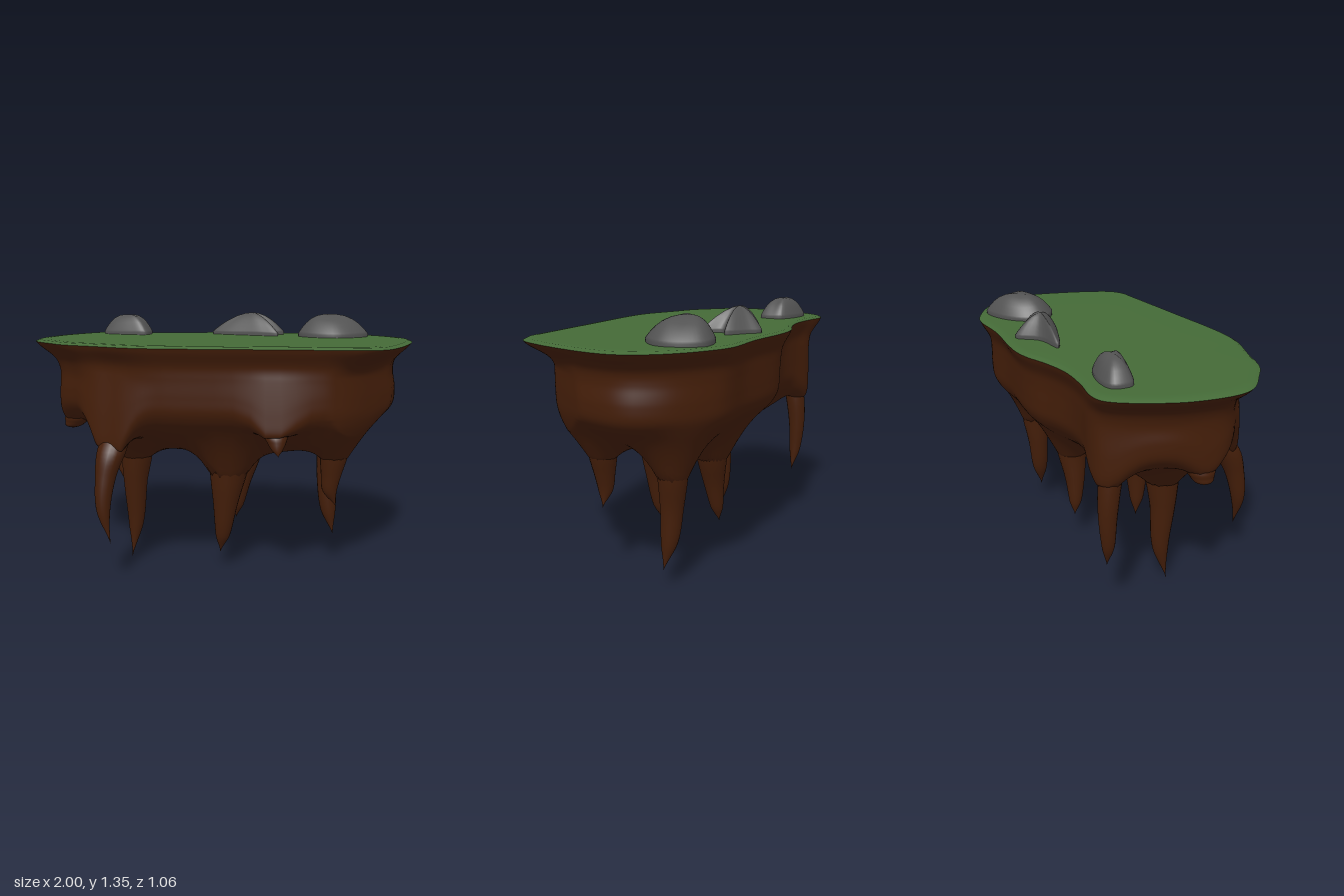
import * as THREE from 'three';

const mat = (name, color) => {
  const m = new THREE.MeshStandardMaterial({ color });
  m.name = name;
  return m;
};

// Skin a list of closed rings, ordered from top to bottom, each running clockwise from above
function loft(rings) {
  const n = rings[0].length, pos = [], idx = [];
  rings.forEach(r => r.forEach(p => pos.push(p.x, p.y, p.z)));
  for (let i = 0; i < rings.length - 1; i++) {
    for (let j = 0; j < n; j++) {
      const k = (j + 1) % n, a = i * n + j, b = i * n + k, c = a + n, d = b + n;
      idx.push(a, b, c, b, d, c);
    }
  }
  const g = new THREE.BufferGeometry();
  g.setAttribute('position', new THREE.Float32BufferAttribute(pos, 3));
  g.setIndex(idx);
  g.computeVertexNormals();
  return g;
}

// Smooth closed outline in the xz plane
const outline = (pts, n) => new THREE.CatmullRomCurve3(
  pts.map(([x, z]) => new THREE.Vector3(x, 0, z)), true, 'centripetal').getPoints(n).slice(0, n);

const scaled = (pts, sx, sz, y, dx = 0) => pts.map(p => new THREE.Vector3(p.x * sx + dx, y, p.z * sz));

// Hanging root: stations [x, y, z, radius] from the buried top to the pointed tip
function root(stations) {
  const path = new THREE.CatmullRomCurve3(stations.map(s => new THREE.Vector3(s[0], s[1], s[2])));
  const width = new THREE.SplineCurve(stations.map((s, i) => new THREE.Vector2(i, s[3])));
  const rings = [], steps = 24, sides = 20;
  for (let i = 0; i <= steps; i++) {
    const c = path.getPoint(i / steps), r = Math.max(0, width.getPoint(i / steps).y);
    rings.push(Array.from({ length: sides }, (_, j) => {
      const a = j / sides * Math.PI * 2;
      return new THREE.Vector3(c.x + r * Math.cos(a), c.y, c.z + r * Math.sin(a));
    }));
  }
  return loft(rings);
}

// Earth body: rings scaled from the rim, drawn down into a funnel around each root
function earth(rim) {
  const { smoothstep, clamp } = THREE.MathUtils;
  const sections = new THREE.CatmullRomCurve3(
    EARTH.map(([sx, sz, y]) => new THREE.Vector3(sx, y, sz)), false, 'centripetal');
  const rings = sections.getPoints(90).map(s => scaled(
    rim, Math.max(0, s.x), Math.max(0, s.z), s.y, 0.02 * smoothstep(1.22 - s.y, 0, 0.2)));
  for (const p of rings.flat()) {
    // Blunt the front left corner of the wall
    const cut = 0.32 * Math.max(0, p.x + p.z - 1.02) * smoothstep(1.22 - p.y, 0, 0.14);
    p.x -= cut;
    p.z -= cut;
    const sink = 1 - smoothstep(p.y, 0.86, 1.08), swell = 1 - smoothstep(p.y, 0.88, 1.16);
    let drop = 0, px = 0, pz = 0;
    for (const { joint: [x, y, z, r], reach, push } of Object.values(ROOTS)) {
      const near = clamp((reach - Math.hypot(p.x - x, p.z - z)) / (reach - r), 0, 1);
      drop = Math.max(drop, (p.y - y) * sink * near ** 2.6);
      px += push[0] * swell * near ** 1.5;
      pz += push[1] * swell * near ** 1.5;
    }
    p.set(p.x + px, p.y - drop, p.z + pz);
  }
  return loft(rings);
}

// Boulder: a lumpy dome rising from a ground outline to a peak
function boulder(pts, peak, fullness, seed) {
  const base = outline(pts, 48), ground = 1.23, h = peak[1] - ground;
  const profile = [0, 0.2, 0.4, 0.6, 0.75, 0.88, 0.96, 1].map(t => [t, 1 - 0.85 * t ** fullness]);
  profile.push([0.98, -0.08]);
  return loft(profile.map(([t, v]) => base.map((p, j) => {
    const lump = 1 + 0.08 * t * Math.sin(j / 48 * Math.PI * 6 + seed);
    return new THREE.Vector3(
      peak[0] + (p.x - peak[0]) * t, ground + h * v * lump, peak[2] + (p.z - peak[2]) * t);
  })));
}

const RIM = [
  [-1, 0.05], [-0.98, -0.13], [-0.92, -0.29], [-0.78, -0.49], [-0.7, -0.51], [-0.55, -0.48],
  [-0.38, -0.465], [-0.22, -0.49], [-0.1, -0.525], [0, -0.535], [0.12, -0.525], [0.35, -0.49],
  [0.6, -0.48], [0.72, -0.43], [0.88, -0.31], [0.97, -0.18], [0.995, -0.08], [0.98, 0.05],
  [0.93, 0.22], [0.88, 0.35], [0.81, 0.475], [0.735, 0.52], [0.6, 0.525], [0.2, 0.525], [-0.28, 0.52],
  [-0.42, 0.495], [-0.6, 0.415], [-0.77, 0.34], [-0.87, 0.25], [-0.97, 0.14],
];

// Flared overhang, upright wall, then a rounded underside: [scale x, scale z, y]
const EARTH = [
  [1, 1, 1.222], [0.98, 0.985, 1.2], [0.905, 0.925, 1.13], [0.89, 0.915, 1.07], [0.9, 0.91, 0.98],
  [0.895, 0.9, 0.91], [0.86, 0.86, 0.86], [0.79, 0.78, 0.81], [0.68, 0.65, 0.75],
  [0.5, 0.48, 0.69], [0.3, 0.3, 0.65], [0, 0, 0.63],
];

// joint: where the funnel meets the root [x, y, z, radius]; lower: stations down to the tip;
// top: buried start; reach: funnel radius; push: sideways bulge of the earth [x, z]
const ROOTS = {
  longRoot: { top: [-0.47, 0.72, 0.02, 0.1], joint: [-0.475, 0.59, 0.02, 0.085], reach: 0.32, push: [0, 0],
    lower: [[-0.485, 0.45, 0.02, 0.066], [-0.49, 0.2, 0.01, 0.042], [-0.51, 0.01, 0.04, 0]] },
  centreRoot: { top: [0.06, 0.66, 0.17, 0.12], joint: [0.045, 0.54, 0.18, 0.098], reach: 0.27, push: [0, 0],
    lower: [[0.03, 0.38, 0.19, 0.066], [0.015, 0.2, 0.185, 0.038], [0, 0.1, 0.17, 0]] },
  rearCentreRoot: { top: [0.13, 0.68, -0.18, 0.1], joint: [0.12, 0.55, -0.18, 0.08], reach: 0.27, push: [0, 0],
    lower: [[0.09, 0.4, -0.18, 0.055], [0.07, 0.26, -0.19, 0.033], [0.06, 0.18, -0.2, 0]] },
  leftRearRoot: { top: [0.59, 0.7, -0.18, 0.085], joint: [0.59, 0.58, -0.18, 0.073], reach: 0.26, push: [0, 0],
    lower: [[0.58, 0.43, -0.17, 0.058], [0.59, 0.25, -0.16, 0.042], [0.62, 0.11, -0.14, 0]] },
  leftFrontRoot: { top: [0.6, 0.76, 0.2, 0.085], joint: [0.59, 0.64, 0.2, 0.07], reach: 0.27, push: [0, 0],
    lower: [[0.58, 0.55, 0.2, 0.053], [0.575, 0.46, 0.2, 0.036], [0.61, 0.38, 0.2, 0]] },
  rightRearRoot: { top: [-0.65, 0.9, -0.36, 0.055], joint: [-0.65, 0.76, -0.39, 0.055], reach: 0.24, push: [0, -0.01],
    lower: [[-0.655, 0.6, -0.405, 0.046], [-0.65, 0.42, -0.4, 0.03], [-0.62, 0.3, -0.39, 0]] },
  rightFrontRoot: { top: [-0.5, 0.83, 0.27, 0.07], joint: [-0.53, 0.7, 0.37, 0.075], reach: 0.27, push: [-0.01, 0.045],
    lower: [[-0.555, 0.57, 0.42, 0.053], [-0.565, 0.4, 0.45, 0.034], [-0.53, 0.23, 0.46, 0]] },
  frontStub: { top: [0.29, 0.91, 0.39, 0.06], joint: [0.295, 0.8, 0.45, 0.058], reach: 0.25, push: [0, 0.05],
    lower: [[0.3, 0.77, 0.47, 0.045], [0.303, 0.74, 0.49, 0.027], [0.31, 0.71, 0.515, 0]] },
  rightStub: { top: [-0.77, 0.92, 0, 0.07], joint: [-0.805, 0.8, 0, 0.07], reach: 0.23, push: [0, 0],
    lower: [[-0.815, 0.775, 0, 0.06], [-0.83, 0.75, 0, 0.043], [-0.835, 0.735, 0, 0]] },
};

// Ground outline, peak, fullness of the dome, lump offset
const BOULDERS = {
  rightBoulder: [[[-0.72, -0.33], [-0.7, -0.41], [-0.6, -0.42], [-0.45, -0.36], [-0.44, -0.3],
    [-0.46, -0.23], [-0.55, -0.24], [-0.7, -0.3]], [-0.57, 1.343, -0.33], 2.7, 1],
  middleBoulder: [[[-0.09, -0.35], [0.07, -0.37], [0.17, -0.46], [0.23, -0.41], [0.32, -0.33],
    [0.25, -0.29], [0.29, -0.19], [0.21, -0.21], [0.11, -0.25], [-0.03, -0.31]], [0.14, 1.358, -0.33], 1.8, 0],
  leftBoulder: [[[0.4, -0.19], [0.43, -0.29], [0.55, -0.38], [0.7, -0.4], [0.77, -0.31],
    [0.78, -0.2], [0.72, -0.12], [0.6, -0.06], [0.46, -0.11]], [0.57, 1.353, -0.25], 2.7, 2.5],
};

export function createModel() {
  const island = new THREE.Group();
  island.name = 'floatingIsland';
  const grass = mat('grassGreen', 0x446a37);
  const soil = mat('soilBrown', 0x441e09);
  const stone = mat('stoneGrey', 0x525252);
  const add = (name, geometry, material) => {
    const m = new THREE.Mesh(geometry, material);
    m.name = name;
    island.add(m);
  };

  // Ground slab: thin turf over the earth body
  const rim = outline(RIM, 160);
  const TURF = [[0, 0, 1.234], [0.5, 0.5, 1.234], [0.94, 0.93, 1.234], [0.975, 0.97, 1.232], [1, 1, 1.222]];
  add('grassTop', loft(TURF.map(([sx, sz, y]) => scaled(rim, sx, sz, y))), grass);
  add('earthBody', earth(rim), soil);

  // Roots below, boulders above
  for (const [name, { top, joint, lower }] of Object.entries(ROOTS)) add(name, root([top, joint, ...lower]), soil);
  for (const [name, args] of Object.entries(BOULDERS)) add(name, boulder(...args), stone);
  return island;
}
